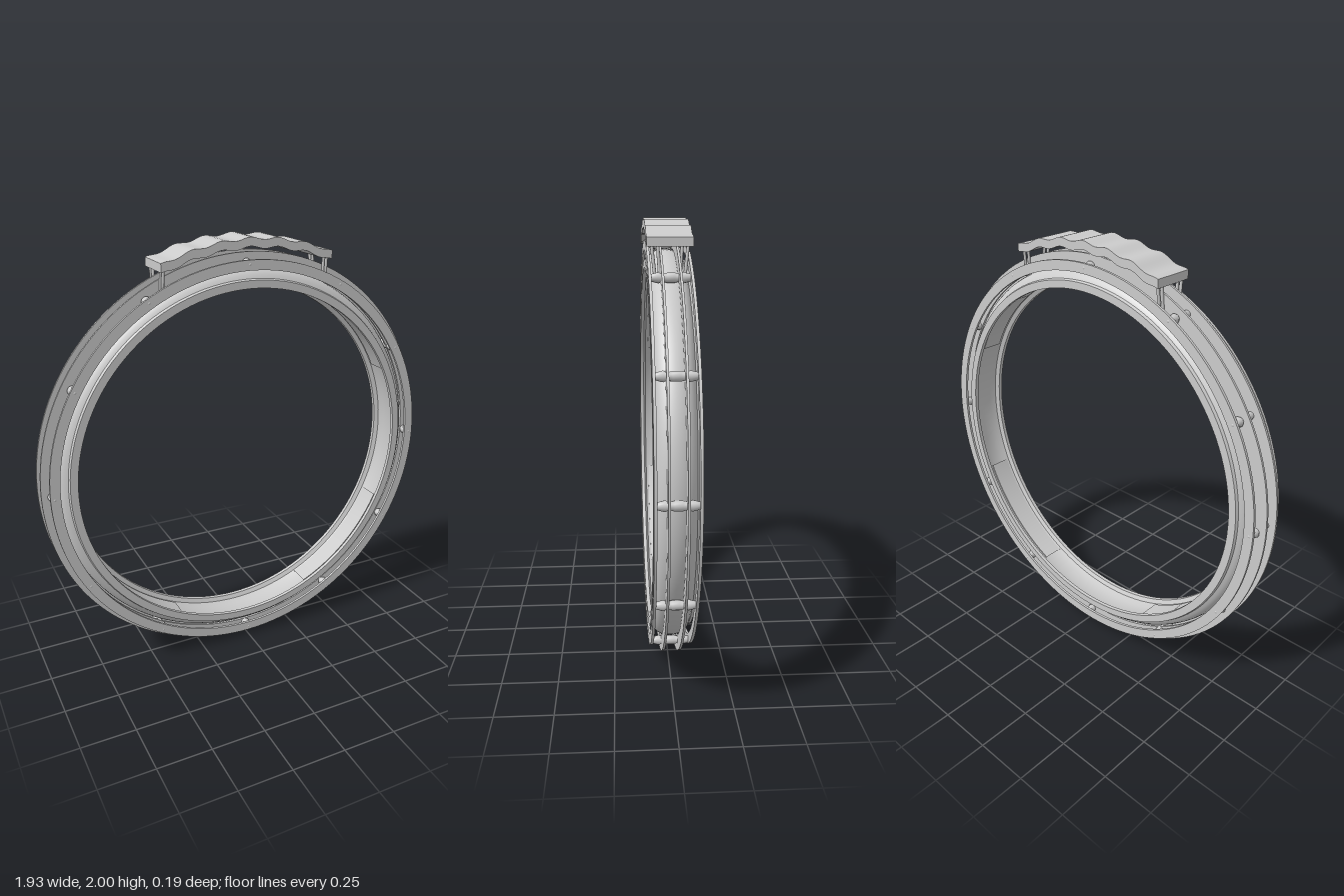
import * as THREE from 'three';
import { toCreasedNormals } from 'three/addons/utils/BufferGeometryUtils.js';

const CENTRE_Y = 0.967;
const material = new THREE.MeshStandardMaterial({ color: 0xcccccc, side: THREE.DoubleSide });

function addMesh(parent, name, geometry) {
  const mesh = new THREE.Mesh(geometry, material);
  mesh.name = name;
  parent.add(mesh);
  return mesh;
}

// Revolve a closed [radius, z] profile around the z axis
function ringGeometry(profile, start = 0, length = Math.PI * 2, segments = 128) {
  const points = [...profile, profile[0]].map(([r, z]) => new THREE.Vector2(r, z));
  const geometry = new THREE.LatheGeometry(points, segments, start, length);
  geometry.rotateX(Math.PI / 2);
  return toCreasedNormals(geometry, 0.6);
}

// Thin flat hoop
function hoop(inner, outer, z, thickness) {
  const a = z - thickness / 2, b = z + thickness / 2;
  return ringGeometry([[inner, a], [outer, a], [outer, b], [inner, b]]);
}

function strutBetween(parent, a, b, radius) {
  const direction = b.clone().sub(a);
  const strut = addMesh(parent, 'canopyStrut', new THREE.CylinderGeometry(radius, radius, direction.length(), 10));
  strut.position.copy(a).add(b).multiplyScalar(0.5);
  strut.quaternion.setFromUnitVectors(new THREE.Vector3(0, 1, 0), direction.normalize());
}

export function createModel() {
  const model = new THREE.Group();
  model.name = 'ringAssembly';
  const wheel = new THREE.Group();
  wheel.name = 'wheel';
  wheel.position.y = CENTRE_Y;
  model.add(wheel);

  // Main rim: rounded outside, straight cheeks, channel on the inside
  const profile = [[0.815, -0.09], [0.85, -0.09]];
  for (let i = 1; i < 12; i++) {
    const a = -Math.PI / 2 + (i / 12) * Math.PI;
    profile.push([0.84 + 0.058 * Math.cos(a), 0.08 * Math.sin(a)]);
  }
  profile.push([0.85, 0.09], [0.815, 0.09], [0.815, 0.072], [0.835, 0.062], [0.845, 0.03],
    [0.845, -0.03], [0.835, -0.062], [0.815, -0.072]);
  addMesh(wheel, 'rim', ringGeometry(profile));

  // Curved pads lying in the inner channel
  for (let i = 0; i < 4; i++) {
    const plate = ringGeometry([[0.832, -0.05], [0.85, -0.05], [0.85, 0.05], [0.832, 0.05]],
      i * Math.PI / 2 + Math.PI / 4 - 0.36, 0.72, 24);
    addMesh(wheel, 'innerPad', plate);
  }

  // Two tall tread hoops and two lower side hoops
  for (const side of [-1, 1]) {
    addMesh(wheel, 'treadHoop', hoop(0.9, 0.965, side * 0.036, 0.01));
    addMesh(wheel, 'sideHoop', hoop(0.892, 0.937, side * 0.085, 0.012));
  }

  // Turned spacer pins tying the hoops together
  const pinProfile = [[0, -0.092], [0.012, -0.09], [0.015, -0.078], [0.022, -0.05], [0.015, -0.036],
    [0.02, -0.015], [0.02, 0.015], [0.015, 0.036], [0.022, 0.05], [0.015, 0.078], [0.012, 0.09], [0, 0.092]];
  const pinGeometry = new THREE.LatheGeometry(pinProfile.map(p => new THREE.Vector2(...p)), 14);
  pinGeometry.rotateX(Math.PI / 2);
  for (let i = 0; i < 12; i++) {
    const a = i * Math.PI / 6;
    addMesh(wheel, 'spacerPin', pinGeometry).position.set(0.918 * Math.cos(a), 0.918 * Math.sin(a), 0);
  }

  // Rippled, arched canopy
  const top = x => 1.913 + 0.081 * (1 - (x / 0.405) ** 2) + 0.006 * Math.cos(x * Math.PI * 2 / 0.135);
  const steps = 72;
  const upper = [], lower = [];
  for (let i = 0; i <= steps; i++) {
    const x = -0.405 + 0.81 * i / steps;
    upper.push(new THREE.Vector2(x, top(x)));
    lower.push(new THREE.Vector2(x, top(x) - 0.038));
  }
  const canopy = new THREE.ExtrudeGeometry(new THREE.Shape([...lower, ...upper.reverse()]),
    { depth: 0.19, bevelEnabled: false });
  canopy.translate(0, 0, -0.095);
  addMesh(model, 'canopy', toCreasedNormals(canopy, 0.6));

  // Struts from the hoops up to the canopy ends
  for (const sx of [-1, 1]) {
    for (const sz of [-1, 1]) {
      for (const [low, high] of [[0.062, 0.075], [0.042, 0.05]]) {
        strutBetween(model, new THREE.Vector3(sx * 0.392, 1.775, sz * low),
          new THREE.Vector3(sx * 0.388, 1.895, sz * high), 0.007);
      }
    }
  }
  return model;
}
